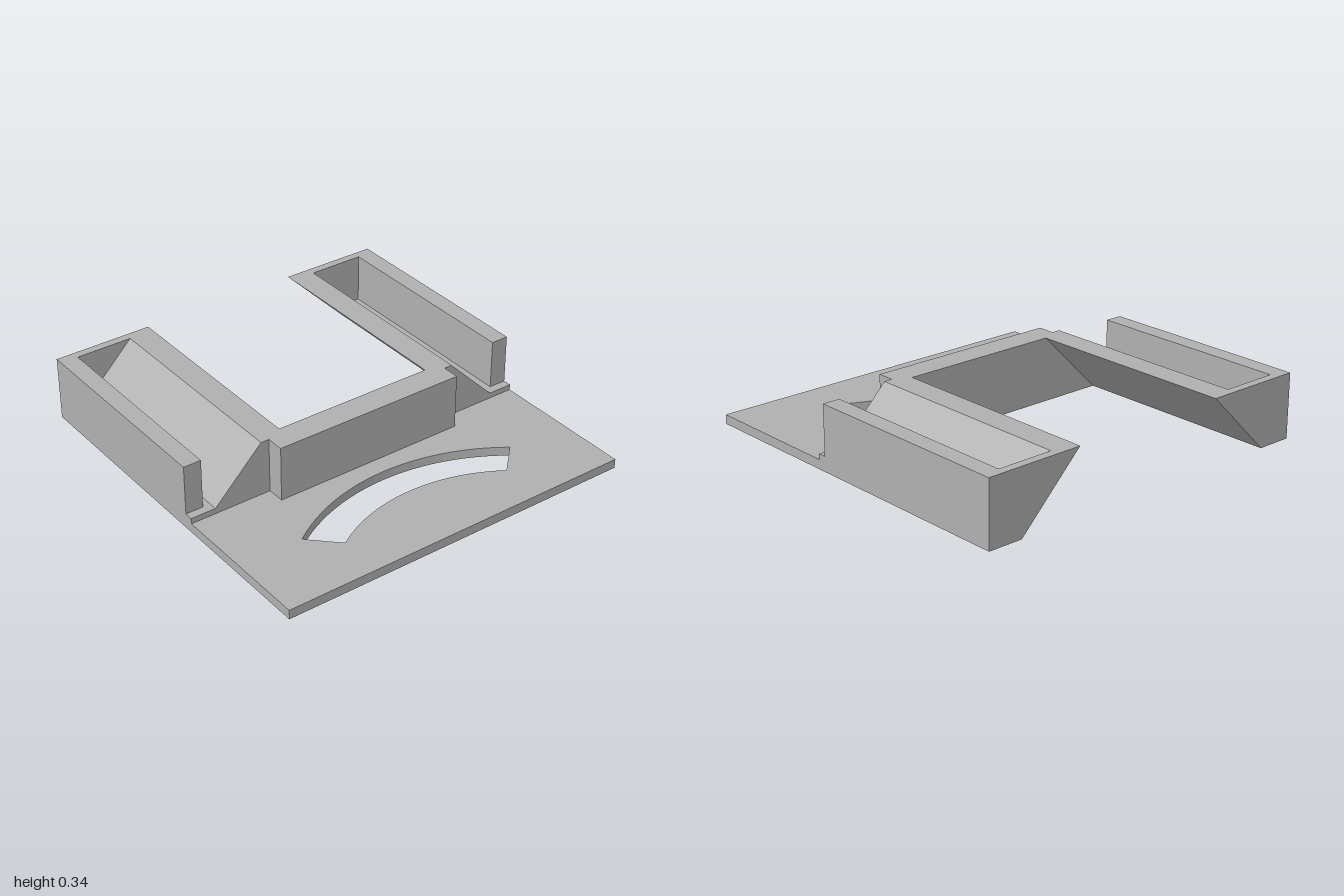
import * as THREE from 'three';

const TOP = 0.345, PLATE = 0.05, LEDGE = 0.08, HALF = 0.975;
const X_INNER = 0.17, X_STEP = 0.215;

export function createModel() {
  const model = new THREE.Group();
  model.name = 'slottedBracket';
  const grey = new THREE.MeshStandardMaterial({ color: 0xb0b0b0 });
  grey.name = 'grey';

  const add = (name, geometry, parent = model) => {
    const mesh = new THREE.Mesh(geometry, grey);
    mesh.name = name;
    parent.add(mesh);
    return mesh;
  };

  // Extrude a [z, y] cross-section along x; side mirrors it in z
  const alongX = (profile, side, x0, x1) => {
    const shape = new THREE.Shape(profile.map(([z, y]) => new THREE.Vector2(-z * side, y)));
    return new THREE.ExtrudeGeometry(shape, { depth: x1 - x0, bevelEnabled: false })
      .rotateY(Math.PI / 2)
      .translate(x0, 0, 0);
  };

  // Points of an arc bulging towards -x, from z = -h to z = h
  const arcPoints = (xMid, xEnd, h, n = 24) => {
    const d = xEnd - xMid;
    const r = (h * h + d * d) / (2 * d);
    const a = Math.asin(h / r);
    return Array.from({ length: n + 1 }, (_, i) => {
      const t = -a + (2 * a * i) / n;
      return new THREE.Vector2(xMid + r - r * Math.cos(t), r * Math.sin(t));
    });
  };

  // Base plate with the curved slot
  const plate = new THREE.Shape([
    new THREE.Vector2(X_INNER, -HALF), new THREE.Vector2(1, -HALF),
    new THREE.Vector2(1, HALF), new THREE.Vector2(X_INNER, HALF),
  ]);
  plate.holes.push(new THREE.Path([
    ...arcPoints(0.41, 0.615, 0.63),
    ...arcPoints(0.61, 0.755, 0.487).reverse(),
  ]));
  add('basePlate', new THREE.ExtrudeGeometry(plate, { depth: PLATE, bevelEnabled: false })
    .rotateX(-Math.PI / 2));

  // Upright wall joining the two arms
  add('crossWall', new THREE.BoxGeometry(0.14, TOP - PLATE, 1.06)
    .translate(0.24, (TOP + PLATE) / 2, 0));

  // Trough arms: upright outer wall, narrow floor, inner wall sloped at 45 degrees
  const trough = [
    [0.785, 0], [HALF, 0], [HALF, TOP], [0.88, TOP],
    [0.88, LEDGE], [0.84, LEDGE], [0.575, TOP], [0.44, TOP],
  ];
  const endCap = [[0.785, 0], [HALF, 0], [HALF, TOP], [0.44, TOP]];
  const mouth = [
    [0.53, 0], [HALF, 0], [HALF, LEDGE],
    [0.84, LEDGE], [0.575, TOP], [0.53, TOP],
  ];
  for (const side of [1, -1]) {
    const arm = new THREE.Group();
    arm.name = side > 0 ? 'frontArm' : 'backArm';
    add('trough', alongX(trough, side, -1, X_INNER), arm);
    add('troughEnd', alongX(endCap, side, -1, -0.955), arm);
    add('troughMouth', alongX(mouth, side, X_INNER, X_STEP), arm);
    model.add(arm);
  }
  return model;
}
